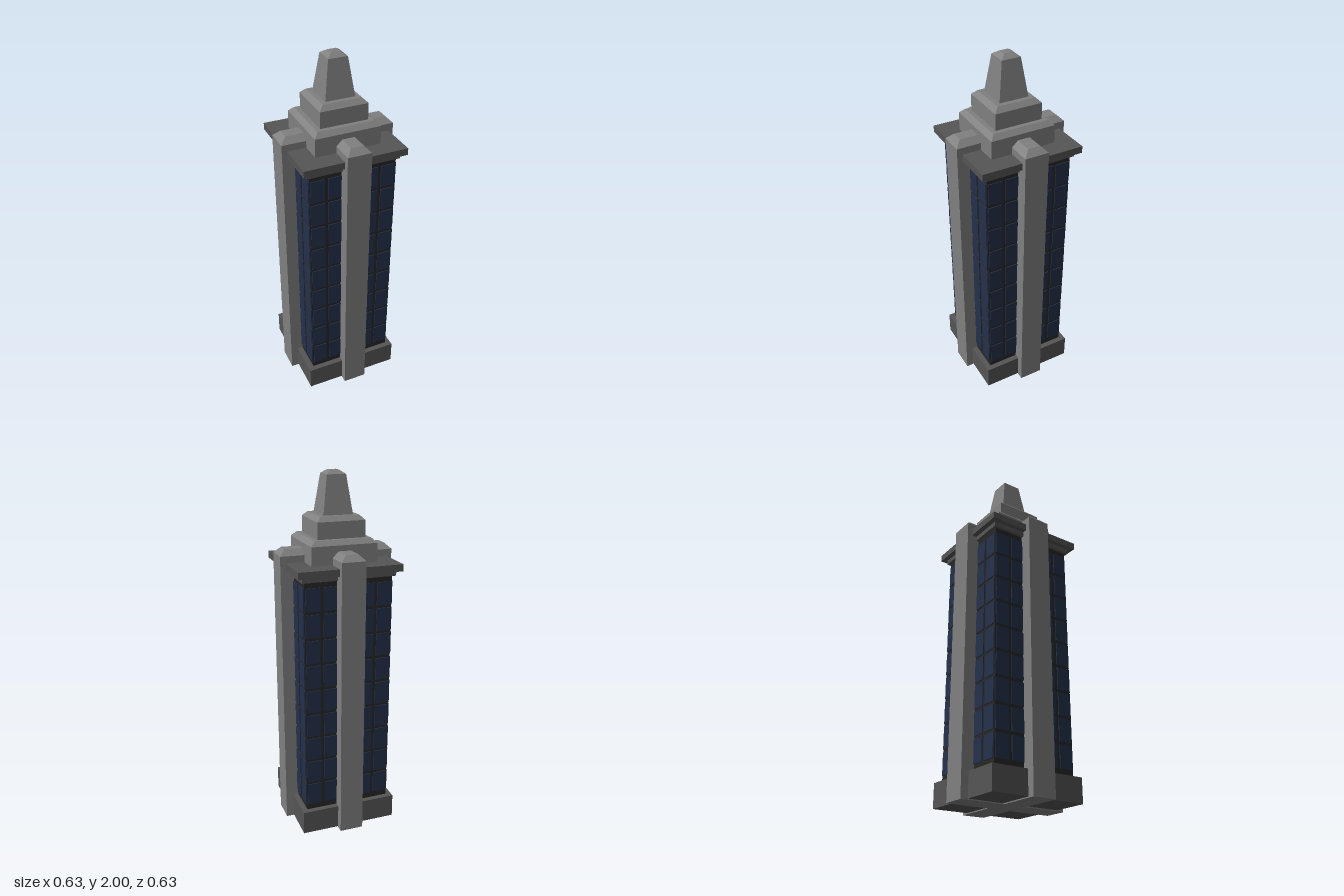
import * as THREE from 'three';

const mat = (name, color) => {
  const m = new THREE.MeshStandardMaterial({ color });
  m.name = name;
  return m;
};

// Rectangular tower stacked from rings [y, halfX, halfZ], bottom to top, with flat faces
function stackGeometry(rings) {
  const pos = [];
  const corner = ([y, hx, hz], i) => [
    [-hx, y, hz], [hx, y, hz], [hx, y, -hz], [-hx, y, -hz],
  ][i % 4];
  const quad = (a, b, c, d) => pos.push(...a, ...b, ...c, ...a, ...c, ...d);
  for (let r = 0; r < rings.length - 1; r++) {
    const lo = rings[r], hi = rings[r + 1];
    for (let i = 0; i < 4; i++) quad(corner(lo, i), corner(lo, i + 1), corner(hi, i + 1), corner(hi, i));
  }
  const first = rings[0], last = rings[rings.length - 1];
  quad(...[0, 1, 2, 3].map((i) => corner(last, i)));
  quad(...[3, 2, 1, 0].map((i) => corner(first, i)));
  const g = new THREE.BufferGeometry();
  g.setAttribute('position', new THREE.Float32BufferAttribute(pos, 3));
  g.computeVertexNormals();
  return g;
}

export function createModel() {
  const stone = mat('light stone', 0x808080);
  const darkStone = mat('dark stone', 0x555555);
  const frame = mat('window frame', 0x272727);
  const glass = mat('blue glass', 0x24304a);

  const model = new THREE.Group();
  model.name = 'tower';
  const add = (name, geometry, material, parent = model) => {
    const mesh = new THREE.Mesh(geometry, material);
    mesh.name = name;
    parent.add(mesh);
    return mesh;
  };
  const block = (name, half, y0, y1, material) =>
    add(name, stackGeometry([[y0, half, half], [y1, half, half]]), material);

  // Plinth, dark window core and two-step cornice
  block('plinth', 0.275, 0.006, 0.14, darkStone);
  block('windowCore', 0.244, 0.13, 1.475, frame);
  block('corniceNeck', 0.26, 1.47, 1.5, darkStone);
  block('corniceSlab', 0.288, 1.497, 1.535, darkStone);

  // Crossed beams whose ends form the four bevelled pillars
  const beam = stackGeometry([[0, 0.317, 0.067], [1.573, 0.317, 0.067], [1.605, 0.284, 0.034]]);
  add('sidePillars', beam, stone);
  add('frontBackPillars', beam, stone).rotation.y = Math.PI / 2;

  // Stepped crown and spire
  add('lowerTier', stackGeometry([[1.53, 0.183, 0.183], [1.635, 0.183, 0.183], [1.66, 0.158, 0.158]]), stone);
  add('upperTier', stackGeometry([[1.655, 0.133, 0.133], [1.75, 0.133, 0.133], [1.775, 0.108, 0.108]]), stone);
  add('spire', stackGeometry([[1.77, 0.083, 0.083], [1.98, 0.053, 0.053], [2, 0.024, 0.024]]), stone);

  // Window panes: nine rows, two columns on each side of every pillar
  const pane = new THREE.BoxGeometry(0.08, 0.126, 0.006);
  for (let side = 0; side < 4; side++) {
    const wall = new THREE.Group();
    wall.name = 'windowWall';
    wall.rotation.y = (side * Math.PI) / 2;
    model.add(wall);
    for (let row = 0; row < 9; row++) {
      for (const x of [-0.199, -0.101, 0.101, 0.199]) {
        add('windowPane', pane, glass, wall).position.set(x, 0.238 + row * 0.1422, 0.246);
      }
    }
  }
  return model;
}
